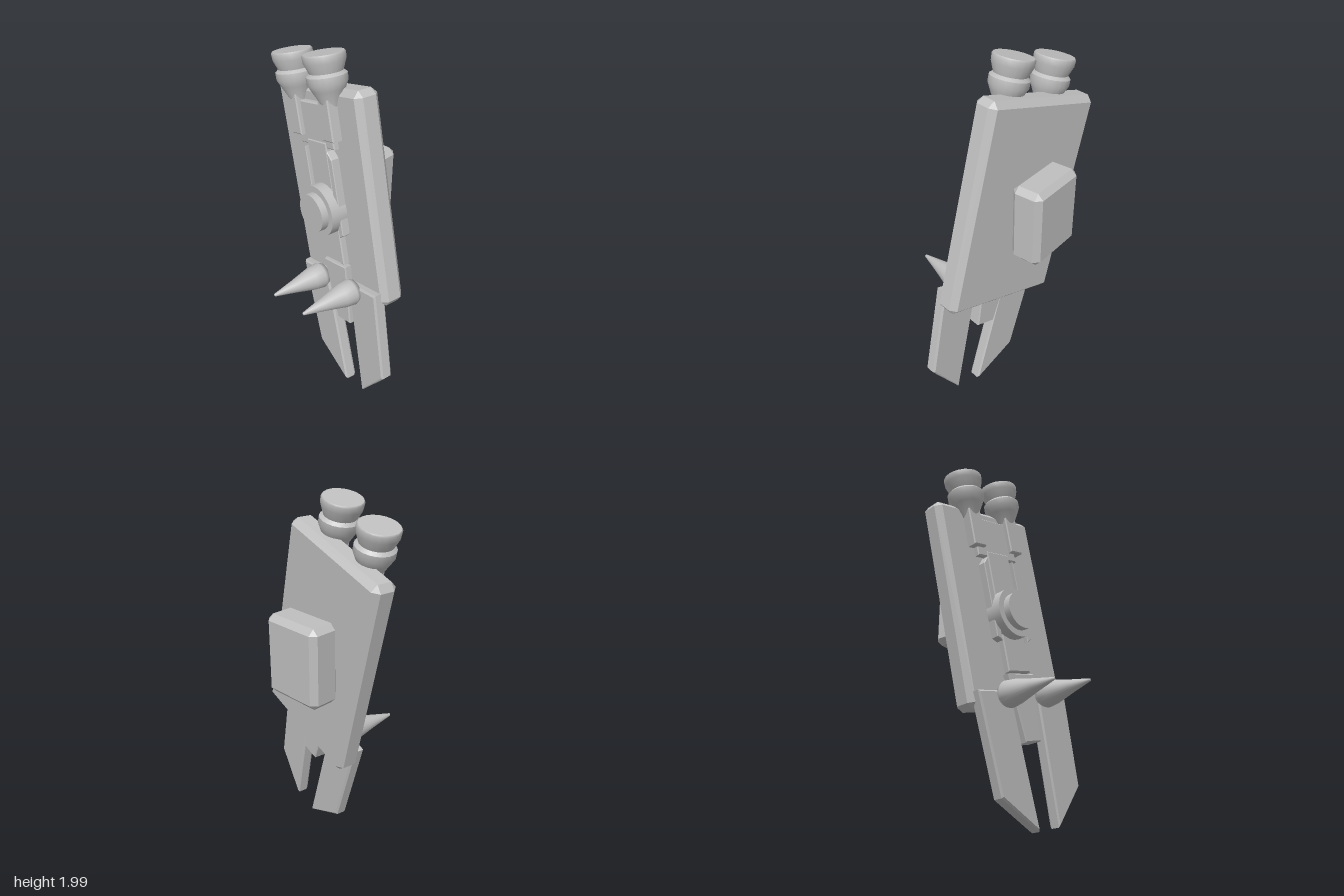
import * as THREE from 'three';
import { ConvexGeometry } from 'three/addons/geometries/ConvexGeometry.js';

const grey = new THREE.MeshStandardMaterial({ color: 0xbfbfbf });
grey.name = 'grey';

function add(parent, name, geometry) {
  const mesh = new THREE.Mesh(geometry, grey);
  mesh.name = name;
  parent.add(mesh);
  return mesh;
}

// Box with every edge chamfered by c
function chamferBox(w, h, d, c) {
  const points = [];
  for (const x of [-1, 1]) for (const y of [-1, 1]) for (const z of [-1, 1]) {
    for (let axis = 0; axis < 3; axis++) {
      const inset = [c, c, c];
      inset[axis] = 0;
      points.push(new THREE.Vector3(
        x * (w / 2 - inset[0]), y * (h / 2 - inset[1]), z * (d / 2 - inset[2])));
    }
  }
  return new ConvexGeometry(points);
}

// Outline given as (width, length), standing from x = from down to x = to
function slab(outline, from, to, bevel = 0.006) {
  const shape = new THREE.Shape(outline.map(([u, v]) => new THREE.Vector2(u, v)));
  const geometry = new THREE.ExtrudeGeometry(shape, {
    depth: from - to - 2 * bevel, bevelEnabled: true, bevelSegments: 1,
    bevelSize: bevel, bevelThickness: bevel, bevelOffset: -bevel,
  });
  geometry.translate(0, 0, bevel);
  geometry.rotateY(-Math.PI / 2);
  geometry.translate(from, 0, 0);
  return geometry;
}

const rect = (u0, u1, v0, v1) => [[u0, v0], [u1, v0], [u1, v1], [u0, v1]];
const lathe = (profile, sides) =>
  new THREE.LatheGeometry(profile.map(([r, y]) => new THREE.Vector2(r, y)), sides);

export function createModel() {
  const model = new THREE.Group();
  model.name = 'model';

  // Tilted frame: x through the plate, y along it, z across it
  const body = new THREE.Group();
  body.name = 'tiltedBody';
  const along = new THREE.Vector3(0.046, 0.967, -0.25).normalize();
  const through = along.clone().cross(new THREE.Vector3(-0.165, 0.252, 0.954)).normalize();
  const across = through.clone().cross(along);
  body.quaternion.setFromRotationMatrix(new THREE.Matrix4().makeBasis(through, along, across));
  body.position.set(0.105, 1.22, -0.018);
  model.add(body);

  add(body, 'mainPlate', chamferBox(0.14, 1.15, 0.73, 0.032));

  // Raised spine on the rear face
  add(body, 'spine', slab(rect(-0.085, 0.085, -0.39, 0.3), -0.06, -0.105));
  add(body, 'upperPanel', slab(rect(-0.15, 0.15, 0.27, 0.5), -0.06, -0.1));
  add(body, 'centreTab', slab(
    [[-0.058, -0.77], [0.058, -0.77], [0.1, -0.4], [-0.1, -0.4]], -0.01, -0.11));

  // Stepped round boss
  for (const [name, radius, depth] of [['bossBase', 0.14, 0.165], ['bossCap', 0.105, 0.205]]) {
    const disc = new THREE.CylinderGeometry(radius, radius, depth - 0.06, 24);
    disc.rotateZ(Math.PI / 2);
    add(body, name, disc).position.set(-(depth + 0.06) / 2, -0.07, 0);
  }

  // Mirrored parts
  for (const s of [-1, 1]) {
    add(body, 'sideRail', slab([
      [s * 0.1, -0.22], [s * 0.135, -0.2], [s * 0.135, 0.22], [s * 0.1, 0.26],
    ], -0.06, -0.115, 0.004));

    add(body, 'prong', slab([
      [s * 0.077, -1.22], [s * 0.305, -1.03], [s * 0.338, -0.49], [s * 0.105, -0.49],
    ], -0.04, -0.11, 0.01));

    const spike = lathe([[0, 0], [0.06, 0], [0.074, 0.03], [0.066, 0.09],
      [0.036, 0.21], [0.008, 0.335], [0, 0.338]], 20);
    spike.rotateZ(Math.PI / 2);
    add(body, 'spike', spike).position.set(-0.1, -0.52, s * 0.148);

    // Canister: funnel, collar and flared rim, closed by a flat cap
    add(body, 'canisterFunnel', lathe(
      [[0.03, 0.42], [0.047, 0.5], [0.085, 0.575], [0.102, 0.61], [0.102, 0.645]], 20))
      .position.set(-0.075, 0, s * 0.145);
    add(body, 'canisterCollar', lathe([[0.102, 0.645], [0.085, 0.66]], 20))
      .position.set(-0.075, 0, s * 0.145);
    add(body, 'canisterRim', lathe([[0.085, 0.66], [0.105, 0.71], [0.107, 0.742], [0.101, 0.75]], 20))
      .position.set(-0.075, 0, s * 0.145);
    add(body, 'canisterCap', lathe([[0.101, 0.75], [0, 0.75]], 20))
      .position.set(-0.075, 0, s * 0.145);
    add(body, 'canisterStem', slab(rect(s * 0.145 - 0.045, s * 0.145 + 0.045, 0.32, 0.54), -0.06, -0.125));
  }

  // Upright block on the outer face
  add(model, 'sideBlock', chamferBox(0.175, 0.43, 0.35, 0.03)).position.set(0.28, 1.215, -0.033);

  return model;
}
